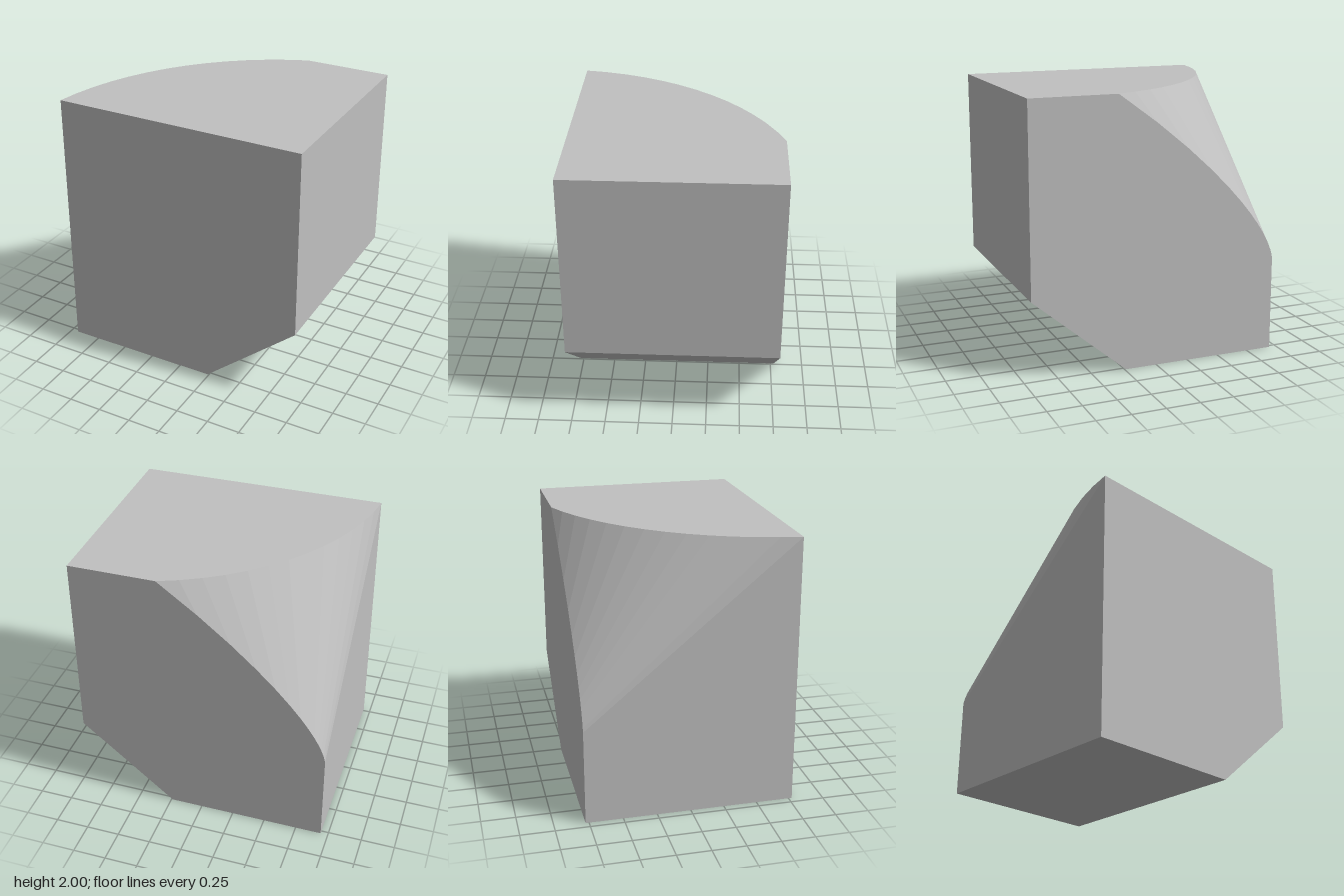
import * as THREE from 'three';
import { ConvexGeometry } from 'three/addons/geometries/ConvexGeometry.js';

const W = 0.945, D = 0.775, H = 2;

export function createModel() {
  const group = new THREE.Group();
  const grey = new THREE.MeshStandardMaterial({ color: 0xc0c0c0 });
  grey.name = 'grey';

  const points = [];
  const add = (x, y, z) => points.push(new THREE.Vector3(x, y, z));

  // block outline with a chamfer along the lower +x edge
  for (const z of [-D, D]) {
    add(W, H, z);
    add(W, 0.595, z);
    add(0.24, 0, z);
    add(-W, 0, z);
  }

  // rear corner cut: straight rulings from the top arc towards an apex,
  // ending where they meet the back plane
  const apex = new THREE.Vector3(-W, 0.377, -1.175);
  const cx = 0.945, cz = 1.0, radius = 1.89, segments = 13;
  const start = Math.asin((cz - D) / radius);
  const end = Math.asin((cz + D) / radius);
  for (let i = 0; i <= segments; i++) {
    const a = start + (end - start) * i / segments;
    const top = new THREE.Vector3(cx - radius * Math.cos(a), H, cz - radius * Math.sin(a));
    points.push(top);
    if (i < segments) {
      const back = top.clone().lerp(apex, (top.z + D) / (top.z - apex.z));
      back.z = -D;
      points.push(back);
    }
  }

  // the solid is convex, so its hull gives every flat face and facet
  const block = new THREE.Mesh(new ConvexGeometry(points), grey);
  block.name = 'cutBlock';
  group.add(block);
  return group;
}
